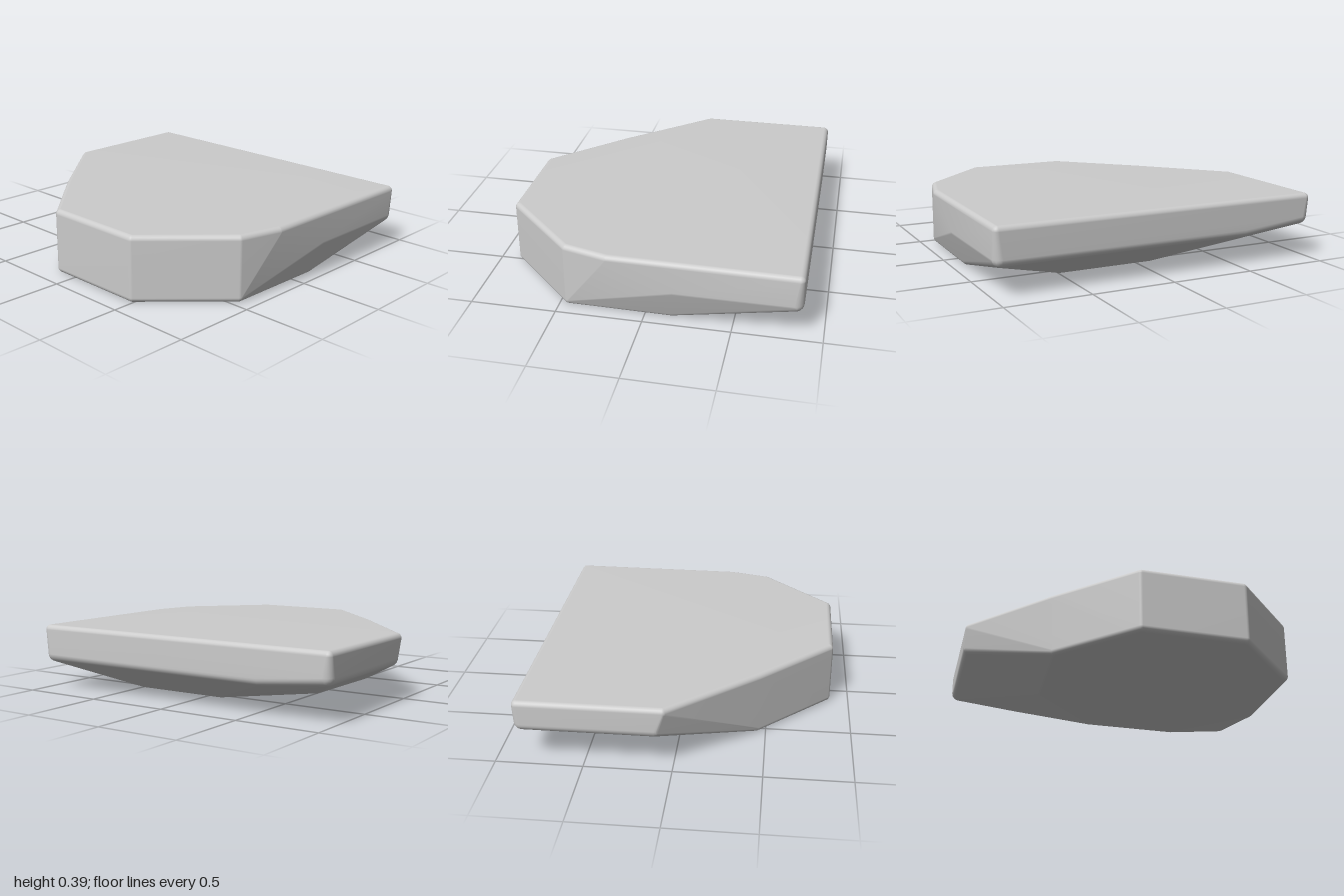
import * as THREE from 'three';
import { ConvexGeometry } from 'three/addons/geometries/ConvexGeometry.js';
import { mergeVertices } from 'three/addons/utils/BufferGeometryUtils.js';

// Convex hull around a ball at each corner: [x, y, z, radius]
function roundedHull(corners) {
  const points = [];
  for (const [x, y, z, r] of corners) {
    const columns = 24, rows = 12;
    for (let i = 0; i <= rows; i++) {
      const phi = (i / rows) * Math.PI;
      const pole = i === 0 || i === rows;
      for (let j = 0; j < (pole ? 1 : columns); j++) {
        const theta = (j / columns) * Math.PI * 2;
        points.push(new THREE.Vector3(
          x + r * Math.sin(phi) * Math.cos(theta),
          y + r * Math.cos(phi),
          z + r * Math.sin(phi) * Math.sin(theta)));
      }
    }
  }
  // Shared vertices give area-weighted normals: flat facets, soft edges
  let geometry = new ConvexGeometry(points);
  geometry.deleteAttribute('normal');
  geometry = mergeVertices(geometry, 1e-5);
  geometry.computeVertexNormals();
  return geometry;
}

export function createModel() {
  const group = new THREE.Group();
  group.name = 'rockSlab';
  const ring = (pts, y, r) => pts.map(([x, z]) => [x, y, z, r]);

  // Flat top outline
  const top = ring([
    [0.055, -0.97], [0.855, -0.97], [0.855, 0.97], [-0.2, 0.957],
    [-0.445, 0.893], [-0.855, 0.487], [-0.855, -0.117], [-0.44, -0.53],
  ], 0.36, 0.03);

  // Lower rim of the upright walls, higher at the back
  const rim = [
    ...ring([[0.17, 0.95], [0.835, 0.95], [0.835, -0.55]], 0.21, 0.05),
    ...ring([[0.835, -0.95], [0.1, -0.95]], 0.25, 0.05),
  ];

  // Smaller flat underside
  const bottom = ring([
    [0.55, 0.49], [0.55, -0.09], [0.14, -0.5], [-0.44, -0.52],
    [-0.855, -0.117], [-0.855, 0.487], [-0.445, 0.893], [0.15, 0.9],
  ], 0.03, 0.03);

  const slab = new THREE.Mesh(
    roundedHull([...top, ...rim, ...bottom]),
    new THREE.MeshStandardMaterial({ color: 0xcccccc }));
  slab.name = 'slab';
  group.add(slab);
  return group;
}
